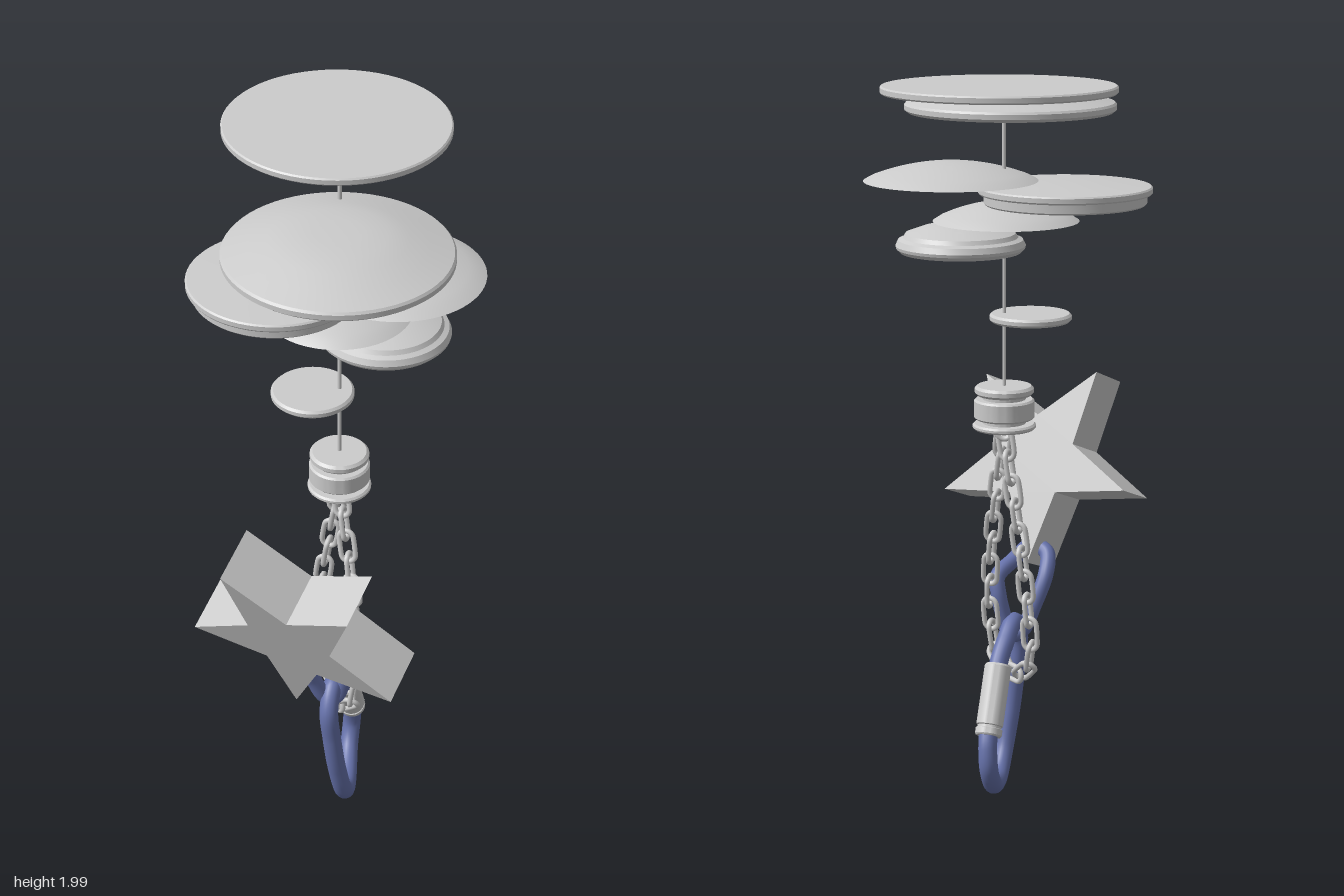
import * as THREE from 'three';
import { toCreasedNormals } from 'three/addons/utils/BufferGeometryUtils.js';

const V = (x, y, z) => new THREE.Vector3(x, y, z);
const grey = new THREE.MeshStandardMaterial({ color: 0xcccccc });
const blue = new THREE.MeshStandardMaterial({ color: 0x6672ab });

export function createModel() {
  const model = new THREE.Group();

  const add = (name, geometry, material = grey, parent = model) => {
    const mesh = new THREE.Mesh(geometry, material);
    mesh.name = name;
    parent.add(mesh);
    return mesh;
  };

  // Turned part: profile of [radius, y] from bottom axis to top axis
  const turned = (name, x, z, profile, segments = 64, parent = model) => {
    const points = profile.map(([r, y]) => new THREE.Vector2(r, y));
    const geometry = toCreasedNormals(new THREE.LatheGeometry(points, segments), 0.5);
    const mesh = add(name, geometry, grey, parent);
    mesh.position.set(x, 0, z);
    return mesh;
  };

  // Flat disc with softened edges
  const disc = (name, x, z, r, y0, y1, bevel = 0.004) => turned(name, x, z, [
    [0, y0], [r - bevel, y0], [r, y0 + bevel], [r, y1 - bevel], [r - bevel, y1], [0, y1],
  ]);

  // Shallow dome closed by a flat underside
  const dome = (name, x, z, r, y0, y1) => {
    const profile = [[0, y0], [r, y0]];
    for (let i = 1; i <= 10; i++) {
      const t = 1 - i / 10;
      profile.push([r * t, y0 + 0.003 + (y1 - y0 - 0.003) * (1 - t * t)]);
    }
    return turned(name, x, z, profile);
  };

  // Floating discs along the cord
  disc('topDisc', 0.005, -0.28, 0.296, 1.98, 2.0);
  turned('largeCymbal', 0.005, 0.2, [
    [0, 1.884], [0.275, 1.884], [0.285, 1.892], [0.285, 1.905], [0.28, 1.911],
    [0.22, 1.93], [0.17, 1.945], [0.12, 1.957], [0.06, 1.96], [0, 1.961],
  ]);
  dome('rightDome', 0.15, 0, 0.23, 1.725, 1.775);
  turned('steppedDisc', -0.15, 0, [
    [0, 1.672], [0.14, 1.669], [0.21, 1.666], [0.214, 1.67], [0.214, 1.692],
    [0.226, 1.694], [0.229, 1.698], [0.229, 1.71], [0.225, 1.714], [0.12, 1.721], [0, 1.724],
  ]);
  dome('middleDome', 0.005, 0, 0.193, 1.62, 1.672);
  turned('hollowCap', 0.125, 0, [
    [0, 1.585], [0.1, 1.575], [0.125, 1.55], [0.13, 1.537], [0.16, 1.537], [0.17, 1.547],
    [0.172, 1.555], [0.165, 1.57], [0.152, 1.576], [0.145, 1.587], [0.1, 1.603], [0.05, 1.612], [0, 1.615],
  ]);
  disc('smallDisc', -0.06, 0, 0.109, 1.353, 1.375, 0.006);

  // Cord
  add('cord', new THREE.CylinderGeometry(0.005, 0.005, 0.83, 12)).position.set(0.01, 1.575, -0.002);

  // Spool the chain hangs from
  disc('spoolTop', 0.01, 0, 0.079, 1.153, 1.178, 0.007);
  disc('spoolDrum', 0.01, 0, 0.081, 1.088, 1.142, 0.005);
  disc('spoolCore', 0.01, 0, 0.058, 1.065, 1.16, 0.002);
  disc('spoolBase', 0.01, 0, 0.085, 1.06, 1.076, 0.005);
  const eyelet = add('spoolEyelet', new THREE.TorusGeometry(0.02, 0.007, 8, 24));
  eyelet.position.set(0.01, 1.05, 0);

  // Chain: one hanging strand, links turned a quarter each time
  const chainPath = new THREE.CatmullRomCurve3([
    V(0.005, 1.02, -0.005), V(-0.02, 0.85, -0.022), V(-0.05, 0.62, -0.03), V(-0.062, 0.44, -0.03),
    V(-0.045, 0.375, 0.005), V(-0.005, 0.352, 0.06), V(0.035, 0.385, 0.11), V(0.055, 0.5, 0.115),
    V(0.055, 0.63, 0.105), V(0.038, 0.83, 0.06), V(0.015, 1.02, 0.01),
  ]);
  const halfLength = 0.025, bend = 0.02;
  const outline = [];
  for (let i = 0; i < 24; i++) {
    const a = ((i + 0.5) / 24) * Math.PI * 2;
    outline.push(V(Math.cos(a) * bend, Math.sin(a) * bend + Math.sign(Math.sin(a)) * halfLength, 0));
  }
  const linkGeometry = new THREE.TubeGeometry(new THREE.CatmullRomCurve3(outline, true), 40, 0.0075, 8, true);
  const chain = new THREE.Group();
  chain.name = 'chain';
  model.add(chain);
  const links = Math.round(chainPath.getLength() / 0.066);
  for (let i = 0; i <= links; i++) {
    const t = i / links;
    const up = chainPath.getTangentAt(t);
    const side = V(1, 0, 0.35).cross(up).normalize();
    const face = side.clone().cross(up).normalize();
    const [x, z] = i % 2 ? [side, face] : [face, side.clone().negate()];
    const link = add('chainLink', linkGeometry, grey, chain);
    link.quaternion.setFromRotationMatrix(new THREE.Matrix4().makeBasis(x, up, z));
    link.position.copy(chainPath.getPointAt(t));
  }

  // Closed blue rod along a loop of points
  const loop = (name, points, radius) => add(name, new THREE.TubeGeometry(
    new THREE.CatmullRomCurve3(points, true, 'centripetal'), 128, radius, 16, true), blue);

  // Clip with locking sleeve
  loop('clipFrame', [
    V(-0.02, 0.42, 0.18), V(-0.012, 0.32, 0.183), V(0.002, 0.2, 0.172), V(0.02, 0.09, 0.142),
    V(0.03, 0.038, 0.085), V(0.035, 0.035, 0.03), V(0.04, 0.07, -0.06), V(0.047, 0.125, -0.097),
    V(0.05, 0.18, -0.093), V(0.049, 0.225, -0.072), V(0.028, 0.385, 0.02), V(0.01, 0.44, 0.07),
    V(-0.008, 0.475, 0.13),
  ], 0.026);
  const sleeveTop = V(0.028, 0.385, 0.02), sleeveEnd = V(0.05, 0.212, -0.077);
  const sleeveAxis = sleeveTop.clone().sub(sleeveEnd);
  const len = sleeveAxis.length();
  const sleeve = turned('clipSleeve', 0, 0, [
    [0, 0], [0.034, 0], [0.037, 0.004], [0.037, 0.02], [0.033, 0.022], [0.033, 0.028], [0.037, 0.03],
    [0.037, len - 0.006], [0.033, len], [0, len],
  ], 32);
  sleeve.position.copy(sleeveEnd);
  sleeve.quaternion.setFromUnitVectors(V(0, 1, 0), sleeveAxis.normalize());

  // Ring joining the clip to the star
  loop('starRing', [
    V(-0.05, 0.66, 0.255), V(0.0, 0.63, 0.2), V(0.038, 0.6, 0.145), V(0.035, 0.56, 0.13),
    V(0.02, 0.49, 0.13), V(0, 0.435, 0.135), V(-0.03, 0.445, 0.145), V(-0.065, 0.52, 0.155),
    V(-0.095, 0.6, 0.18), V(-0.095, 0.65, 0.225),
  ], 0.022);

  // Thick five-pointed star, one tip pointing down
  const starShape = new THREE.Shape();
  for (let i = 0; i < 10; i++) {
    const r = i % 2 ? 0.122 : 0.298, a = (i * Math.PI) / 5;
    starShape[i ? 'lineTo' : 'moveTo'](r * Math.sin(a), r * Math.cos(a));
  }
  starShape.closePath();
  const depth = 0.155;
  const starGeometry = new THREE.ExtrudeGeometry(starShape, { depth, bevelEnabled: false });
  starGeometry.translate(0, 0, -depth / 2);
  const star = add('star', starGeometry);
  const normal = V(-0.42, -0.36, 0.84).normalize();
  const tip = V(0.015, -0.272, -0.109).projectOnPlane(normal).normalize();
  star.quaternion.setFromRotationMatrix(
    new THREE.Matrix4().makeBasis(tip.clone().cross(normal), tip, normal));
  star.position.set(-0.09, 0.88, 0.355);

  return model;
}
